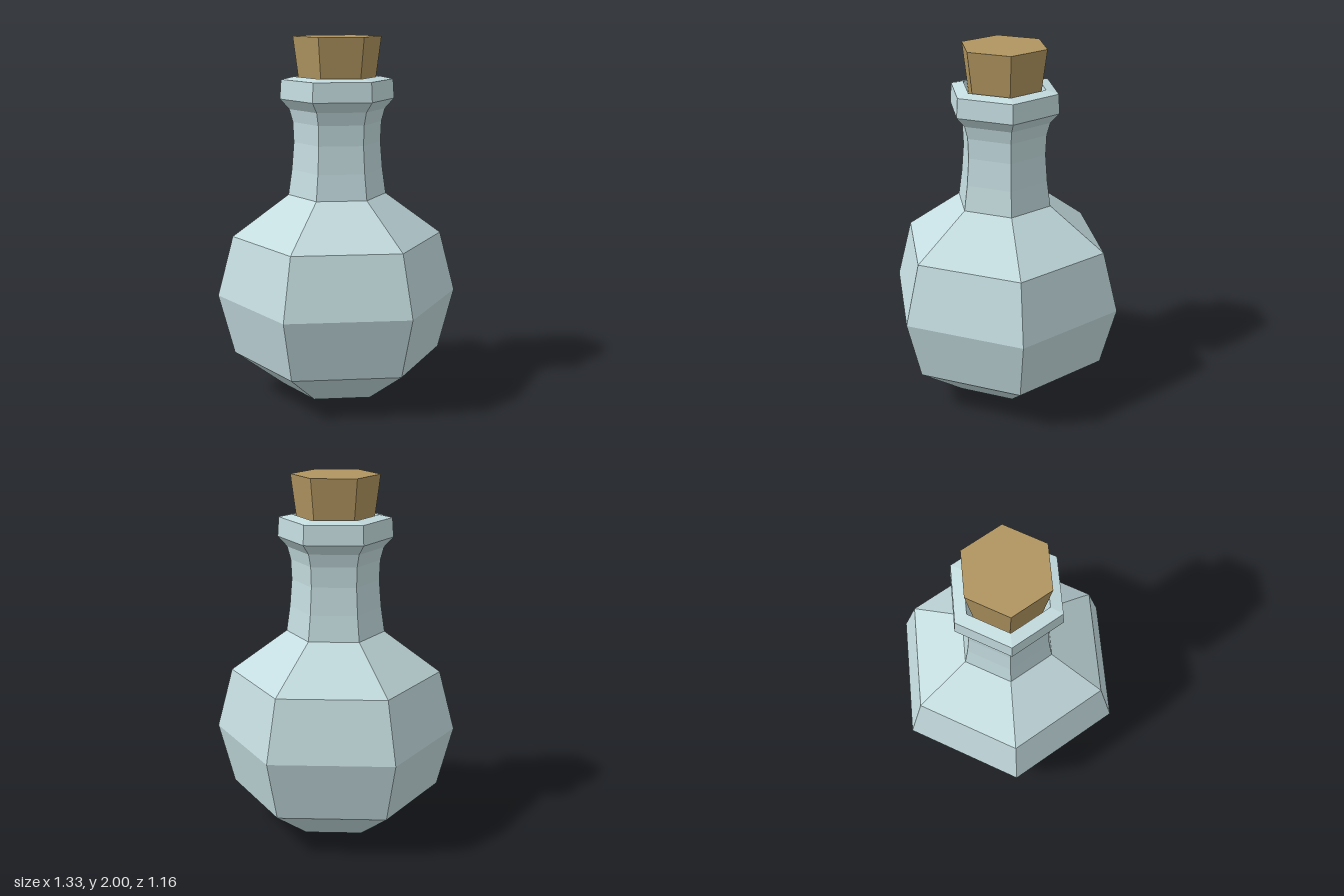
import * as THREE from 'three';

const SIDES = 6;

// Six-sided turned shape with corners on the x axis
function turned(name, profile, color) {
  const points = profile.map(([r, y]) => new THREE.Vector2(r, y));
  const geometry = new THREE.LatheGeometry(points, SIDES, Math.PI / 2).toNonIndexed();
  geometry.computeVertexNormals();
  const material = new THREE.MeshStandardMaterial({ color, flatShading: true });
  const mesh = new THREE.Mesh(geometry, material);
  mesh.name = name;
  return mesh;
}

export function createModel() {
  const group = new THREE.Group();
  group.name = 'corkedFlask';

  // Glass: round belly, waisted neck, collar, then down inside the mouth
  group.add(turned('glassFlask', [
    [0, 0.005], [0.307, 0.045], [0.58, 0.24], [0.667, 0.575], [0.58, 0.91],
    [0.27, 1.14], [0.25, 1.28], [0.238, 1.43], [0.243, 1.54], [0.262, 1.61],
    [0.312, 1.665], [0.305, 1.77], [0.235, 1.785], [0.205, 1.66], [0.185, 1.6],
  ], 0xc4dcdf));

  // Tapered stopper, sunk into the mouth
  group.add(turned('corkStopper', [
    [0, 1.58], [0.185, 1.58], [0.24, 2], [0, 2],
  ], 0xb09560));

  return group;
}
